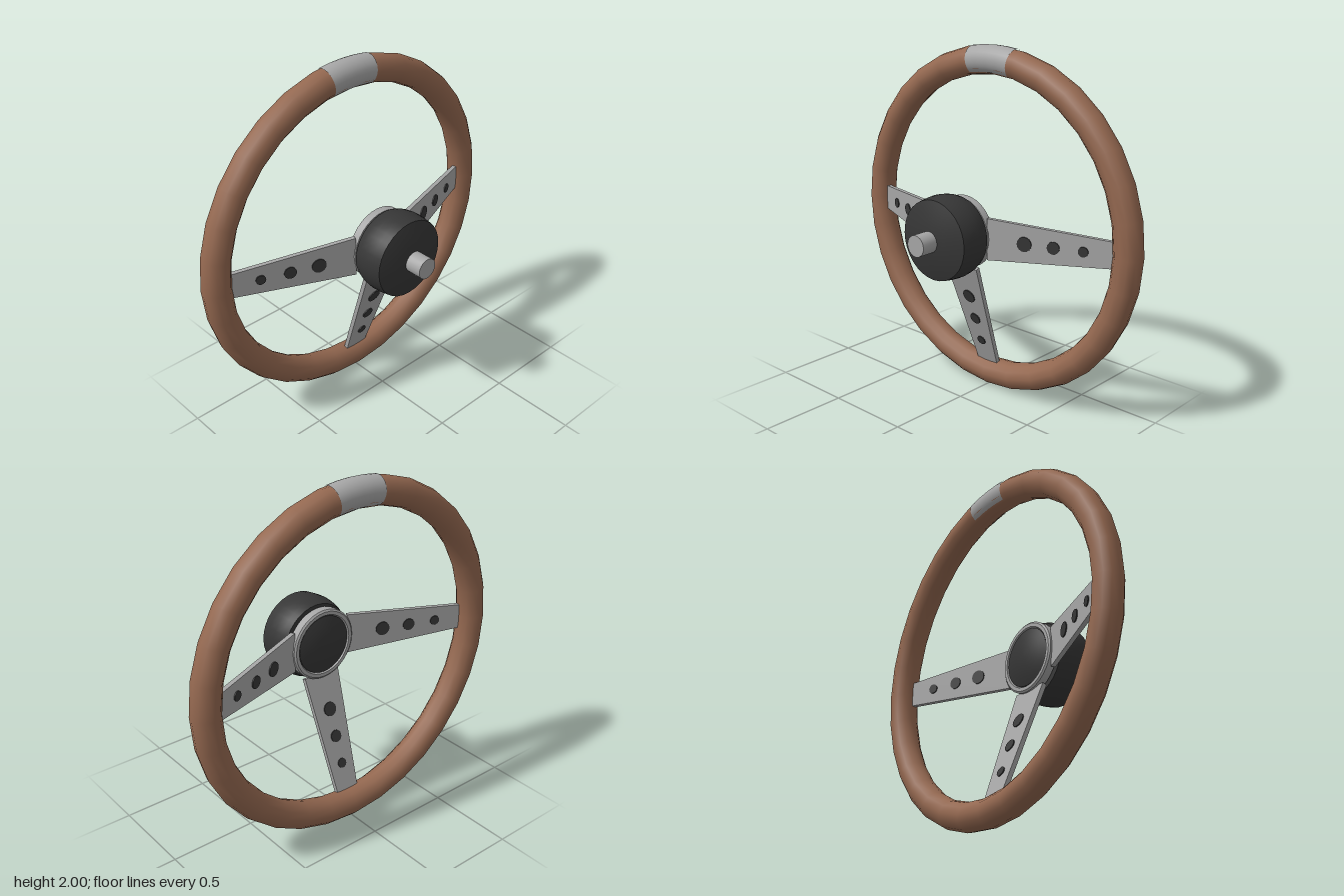
import * as THREE from 'three';
import { toCreasedNormals } from 'three/addons/utils/BufferGeometryUtils.js';

const paint = (name, color) => {
  const m = new THREE.MeshStandardMaterial({ color });
  m.name = name;
  return m;
};

export function createModel() {
  const wood = paint('wood brown', 0x946850);
  const metal = paint('brushed metal', 0xa6a6a6);
  const black = paint('soft black', 0x363636);

  const model = new THREE.Group();
  model.name = 'steeringWheel';
  const wheel = new THREE.Group();
  wheel.name = 'wheel';
  wheel.position.y = 1;
  model.add(wheel);

  const add = (name, geometry, material, parent = wheel) => {
    const mesh = new THREE.Mesh(geometry, material);
    mesh.name = name;
    parent.add(mesh);
    return mesh;
  };

  // Turned part about the x axis; points are [x, radius] with x rising
  const turned = (points, segments = 32) => {
    const g = new THREE.LatheGeometry(points.map(([x, r]) => new THREE.Vector2(r, x)), segments);
    return toCreasedNormals(g.rotateZ(-Math.PI / 2), 0.5);
  };

  // Rim
  const rimX = -0.27, rimR = 0.9185, tubeR = 0.0795;
  add('rim', new THREE.TorusGeometry(rimR, tubeR, 12, 32).rotateY(Math.PI / 2), wood).position.x = rimX;

  // Metal band wrapped over the top of the rim, open on the inside
  const wrap = THREE.MathUtils.degToRad(141), half = 0.158, band = [];
  for (let i = 0; i <= 20; i++) {
    const t = -wrap + (2 * wrap * i) / 20;
    band.push(new THREE.Vector2(rimR + 0.0815 * Math.cos(t), 0.0815 * Math.sin(t)));
  }
  const bandGeometry = new THREE.LatheGeometry(band, 4, -Math.PI / 2 - half, 2 * half);
  add('topBand', bandGeometry.rotateZ(-Math.PI / 2), metal).position.x = rimX;

  // Hub: rear housing, shaft, collar and domed centre cap
  add('hubHousing', turned([[0.02, 0], [0.02, 0.215], [0.055, 0.228], [0.105, 0.235],
    [0.16, 0.232], [0.21, 0.224], [0.245, 0.11], [0.245, 0]]), black);
  add('shaft', turned([[0.23, 0], [0.23, 0.06], [0.345, 0.06], [0.345, 0]], 20), metal);
  add('collar', turned([[-0.035, 0], [-0.035, 0.17], [-0.05, 0.175], [-0.05, 0.195],
    [-0.042, 0.205], [0.004, 0.205], [0.004, 0]]), metal);
  add('centreCap', turned([[-0.073, 0], [-0.07, 0.06], [-0.06, 0.12], [-0.044, 0.168], [-0.034, 0.168]]), black);

  // Three tapered spokes, each with three round dark insets on both faces
  const tilt = 0.344, startR = 0.19, thick = 0.026;
  const along = r => (r - startR) / Math.cos(tilt);
  const length = along(0.842);
  const outline = new THREE.Shape([[-0.117, 0], [-0.073, -length], [0.073, -length], [0.117, 0]]
    .map(([x, y]) => new THREE.Vector2(x, y)));
  const plate = new THREE.ExtrudeGeometry(outline, { depth: thick, bevelEnabled: false })
    .translate(0, 0, -thick / 2).rotateY(Math.PI / 2);
  const insets = [[0.39, 0.041], [0.542, 0.035], [0.695, 0.028]];

  [['lowerSpoke', 0], ['frontSpoke', -Math.PI / 2], ['backSpoke', Math.PI / 2]].forEach(([name, turn]) => {
    const spoke = new THREE.Group();
    spoke.name = name;
    spoke.rotation.x = turn;
    const arm = new THREE.Group();
    arm.name = name + 'Arm';
    arm.position.set(-0.014, -startR, 0);
    arm.rotation.z = -tilt;
    spoke.add(arm);
    wheel.add(spoke);
    add(name + 'Plate', plate, metal, arm);
    for (const [r, radius] of insets) {
      const disc = new THREE.CylinderGeometry(radius, radius, thick + 0.012, 16).rotateZ(Math.PI / 2);
      add(name + 'Inset', disc, black, arm).position.y = -along(r);
    }
  });

  return model;
}
